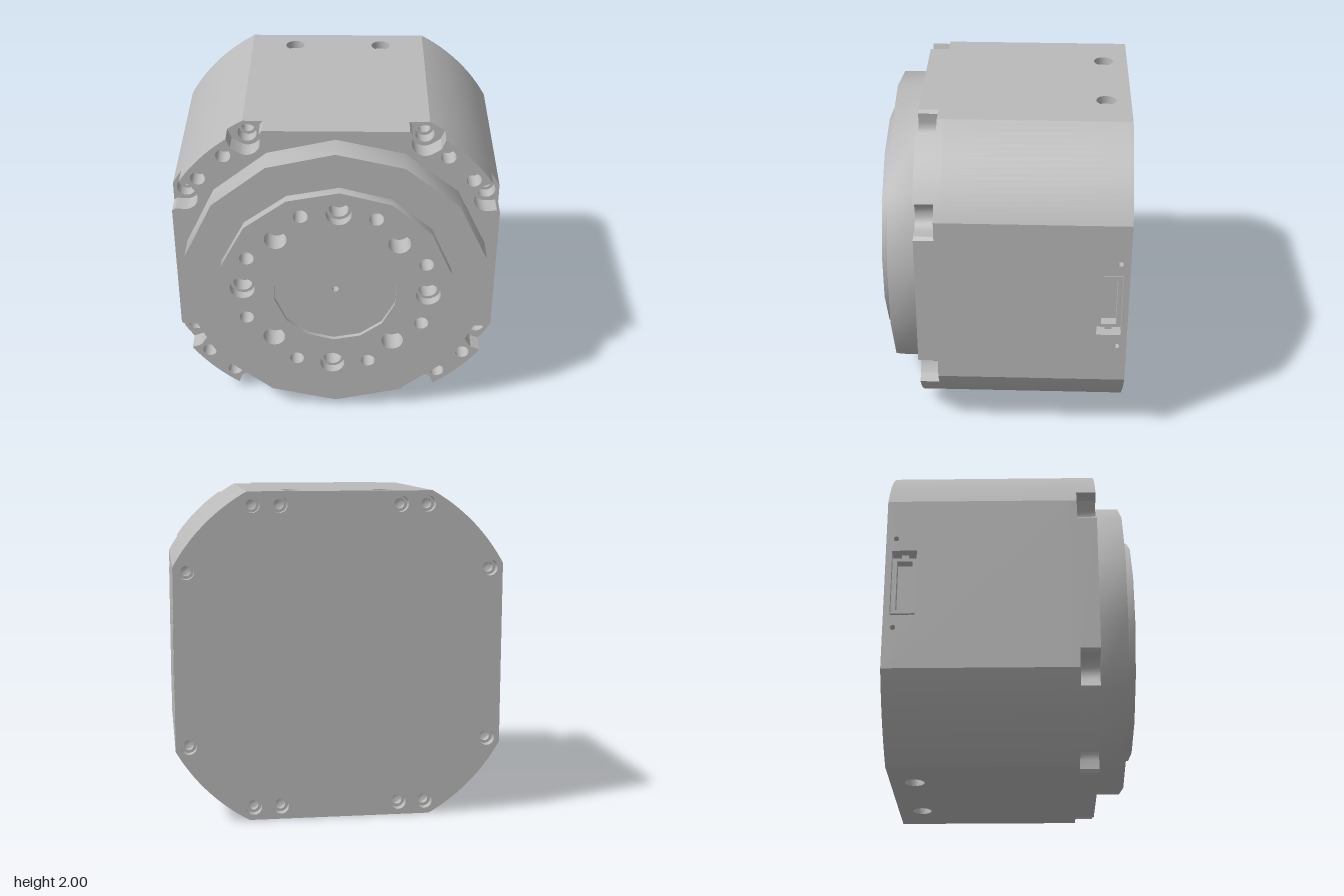
import * as THREE from 'three';
import { toCreasedNormals } from 'three/addons/utils/BufferGeometryUtils.js';

const R = 1.145;                       // radius of the rounded corners
const F = Math.sqrt(R * R - 1);        // half width of the flat sides
const Z_BACK = -0.75, Z_POCKET = 0.4, Z_FACE = 0.52, Z_RING = 0.69, Z_DISC = 0.75;

export function createModel() {
  const grey = new THREE.MeshStandardMaterial({ color: 0xbababa });
  grey.name = 'machined grey';
  const root = new THREE.Group();
  root.name = 'actuator';
  const model = new THREE.Group();
  model.name = 'actuatorParts';
  model.position.y = 1;
  root.add(model);

  const add = (name, geo, parent = model) => {
    const mesh = new THREE.Mesh(geo, grey);
    mesh.name = name;
    parent.add(mesh);
    return mesh;
  };
  const toShape = (pts) => new THREE.Shape(pts.map(([x, y]) => new THREE.Vector2(x, y)));
  const circle = (x, y, r) => new THREE.Path().absarc(x, y, r, 0, Math.PI * 2);
  const rect = (x, y, hw, hh) =>
    toShape([[x - hw, y - hh], [x + hw, y - hh], [x + hw, y + hh], [x - hw, y + hh]]);
  const polygon = (n, r) => Array.from({ length: n }, (_, i) => {
    const a = Math.PI / 2 + (i / n) * Math.PI * 2;
    return [r * Math.cos(a), r * Math.sin(a)];
  });
  const extrude = (shape, z0, z1, holes = [], crease = 0.35) => {
    shape.holes.push(...holes);
    const geo = new THREE.ExtrudeGeometry(shape, { depth: z1 - z0, bevelEnabled: false, curveSegments: 24 });
    geo.translate(0, 0, z0);
    return toCreasedNormals(geo, crease);
  };
  // inward-facing bore along +z: profile runs from the rim down
  const bore = (x, y, z, profile, segments = 24) => {
    const geo = new THREE.LatheGeometry(profile.map(([r, h]) => new THREE.Vector2(r, h)), segments);
    geo.rotateX(Math.PI / 2);
    geo.translate(x, y, z);
    return toCreasedNormals(geo, 0.6);
  };
  const arc = (cx, cy, r, a0, a1, n) => Array.from({ length: n + 1 }, (_, i) => {
    const a = THREE.MathUtils.degToRad(a0 + ((a1 - a0) * i) / n);
    return [cx + r * Math.cos(a), cy + r * Math.sin(a)];
  });
  // repeat a half corner across its diagonal, then around all four corners
  const fourCorners = (half) => {
    const corner = [...half, ...half.slice(0, -1).reverse().map(([x, y]) => [y, x])];
    const out = [];
    let turn = ([x, y]) => [x, y];
    for (let k = 0; k < 4; k++) {
      out.push(...corner.map(turn));
      const previous = turn;
      turn = (p) => { const [x, y] = previous(p); return [y, -x]; };
    }
    return out;
  };
  const mirrored = (list) =>
    list.flatMap(([x, y]) => [[x, y], [-x, y], [x, -y], [-x, -y]]);

  const edgeAngle = THREE.MathUtils.radToDeg(Math.atan2(1, F));
  const outline = fourCorners(arc(0, 0, R, edgeAngle, 45, 8));
  const notched = fourCorners([
    [0.435, 1], [0.452, 0.98], ...arc(0.53, 0.92, 0.083, 180, 300, 10),
    [0.605, 0.87], [0.625, 0.885], ...arc(0, 0, R, 55.5, 45, 5),
  ]);
  const screws = mirrored([[0.53, 0.92], [0.92, 0.53]]);
  const pins = mirrored([[0.67, 0.83], [0.83, 0.67]]);
  const backHoles = [...screws, ...mirrored([[0.365, 0.92]])];

  // housing: front flange with pockets, shoulder and back cover
  add('frontFlange', extrude(toShape(notched), Z_POCKET, Z_FACE, pins.map(([x, y]) => circle(x, y, 0.045))));
  add('shoulder', extrude(toShape(outline), 0.36, Z_POCKET, screws.map(([x, y]) => circle(x, y, 0.057))));
  add('backCover', extrude(toShape(outline), Z_BACK, -0.73, backHoles.map(([x, y]) => circle(x, y, 0.048))));
  for (const [x, y] of screws) {
    add('screwBore', bore(x, y, Z_POCKET, [[0.057, 0], [0.057, -0.08], [0.038, -0.08], [0.038, -0.16], [0, -0.18]]));
  }
  for (const [x, y] of backHoles) {
    const geo = bore(x, y, -Z_BACK, [[0.048, 0], [0.048, -0.05], [0.03, -0.05], [0.03, -0.09], [0, -0.1]]);
    geo.rotateY(Math.PI);
    add('backBore', geo);
  }

  // rounded corner walls
  for (let k = 0; k < 4; k++) {
    const wall = add('cornerWall', extrude(toShape(arc(0, 0, R, 90 - edgeAngle, edgeAngle, 16)), -0.73, 0.36));
    wall.rotation.z = (k * Math.PI) / 2;
  }

  // flat walls: each is drawn with its outside facing +z, then turned into place
  for (const turn of [0, Math.PI]) {
    const pivotY = new THREE.Group();
    pivotY.name = turn ? 'bottomWall' : 'topWall';
    pivotY.rotation.z = turn;
    model.add(pivotY);
    const flat = new THREE.Group();
    flat.name = 'mountingWall';
    flat.rotation.x = -Math.PI / 2;
    pivotY.add(flat);
    add('mountingPlate', extrude(rect(0, 0.185, F, 0.545), 0.98, 1,
      [-0.28, 0.28].map((x) => circle(x, 0.6, 0.06))), flat);
    for (const x of [-0.28, 0.28]) {
      add('mountingBore', bore(x, 0.6, 1, [[0.06, 0], [0.06, -0.05], [0.036, -0.05], [0.036, -0.2]]), flat);
    }

    const pivotX = new THREE.Group();
    pivotX.name = turn ? 'rightWall' : 'leftWall';
    pivotX.rotation.z = turn;
    model.add(pivotX);
    const side = new THREE.Group();
    side.name = 'connectorWall';
    side.rotation.y = Math.PI / 2;
    pivotX.add(side);
    const u = 0.638;
    const smallHoles = [[0.69, 0.297], [0.69, -0.297]];
    add('sidePlate', extrude(rect(0.185, 0, 0.545, F), 0.98, 1,
      [rect(u, 0, 0.074, 0.215), ...smallHoles.map(([x, y]) => circle(x, y, 0.016))]), side);
    for (const [x, y] of smallHoles) {
      add('pinBore', bore(x, y, 1, [[0.016, 0], [0.016, -0.15]], 16), side);
    }
    add('connectorSleeve', extrude(rect(u, 0, 0.085, 0.226), 0.78, 0.99, [rect(u, 0, 0.074, 0.215)]), side);
    add('connectorFrame', extrude(rect(u, 0, 0.074, 0.185), 0.8, 0.96, [rect(u, 0, 0.046, 0.163)]), side);
    add('connectorFloor', extrude(rect(u, 0, 0.05, 0.17), 0.82, 0.9), side);
    for (const y of [-0.2, 0.2]) {
      add('connectorKey', extrude(rect(u, y, 0.022, 0.017), 0.82, 0.94), side);
    }
  }

  // bearing ring
  add('bearingRing', extrude(toShape(polygon(14, 0.945)), Z_FACE, Z_RING, [circle(0, 0, 0.68)], 0.6));

  // output disc with its bolt circle, turned slightly
  const disc = new THREE.Group();
  disc.name = 'outputDisc';
  disc.rotation.z = THREE.MathUtils.degToRad(-2);
  model.add(disc);
  const boltHoles = [];
  for (let i = 0; i < 16; i++) {
    const kind = i % 4 === 0 ? 'large' : i % 4 === 2 ? 'medium' : 'small';
    const [ring, r] = { large: [0.572, 0.077], medium: [0.527, 0.068], small: [0.59, 0.044] }[kind];
    const a = (i / 16) * Math.PI * 2;
    boltHoles.push({ kind, x: ring * Math.cos(a), y: ring * Math.sin(a), r });
  }
  const centre = toShape(polygon(14, 0.382));
  add('discPlate', extrude(toShape(polygon(14, 0.72)), Z_RING - 0.01, Z_DISC,
    [centre, ...boltHoles.map((h) => circle(h.x, h.y, h.r))], 0.6), disc);
  for (const { kind, x, y, r } of boltHoles) {
    const profile = {
      large: [[r, 0], [r, -0.06], [0.058, -0.06], [0.058, -0.16], [0, -0.16]],
      medium: [[r, 0], [r, -0.14], [0, -0.14]],
      small: [[r, 0], [r, -0.1], [0, -0.13]],
    }[kind];
    add(kind + 'Bore', bore(x, y, Z_DISC, profile), disc);
  }
  add('centreRecess', bore(0, 0, Z_DISC, [[0.382, 0], [0.382, -0.025], [0.02, -0.025], [0.02, -0.1], [0, -0.1]], 14), disc);

  return root;
}
